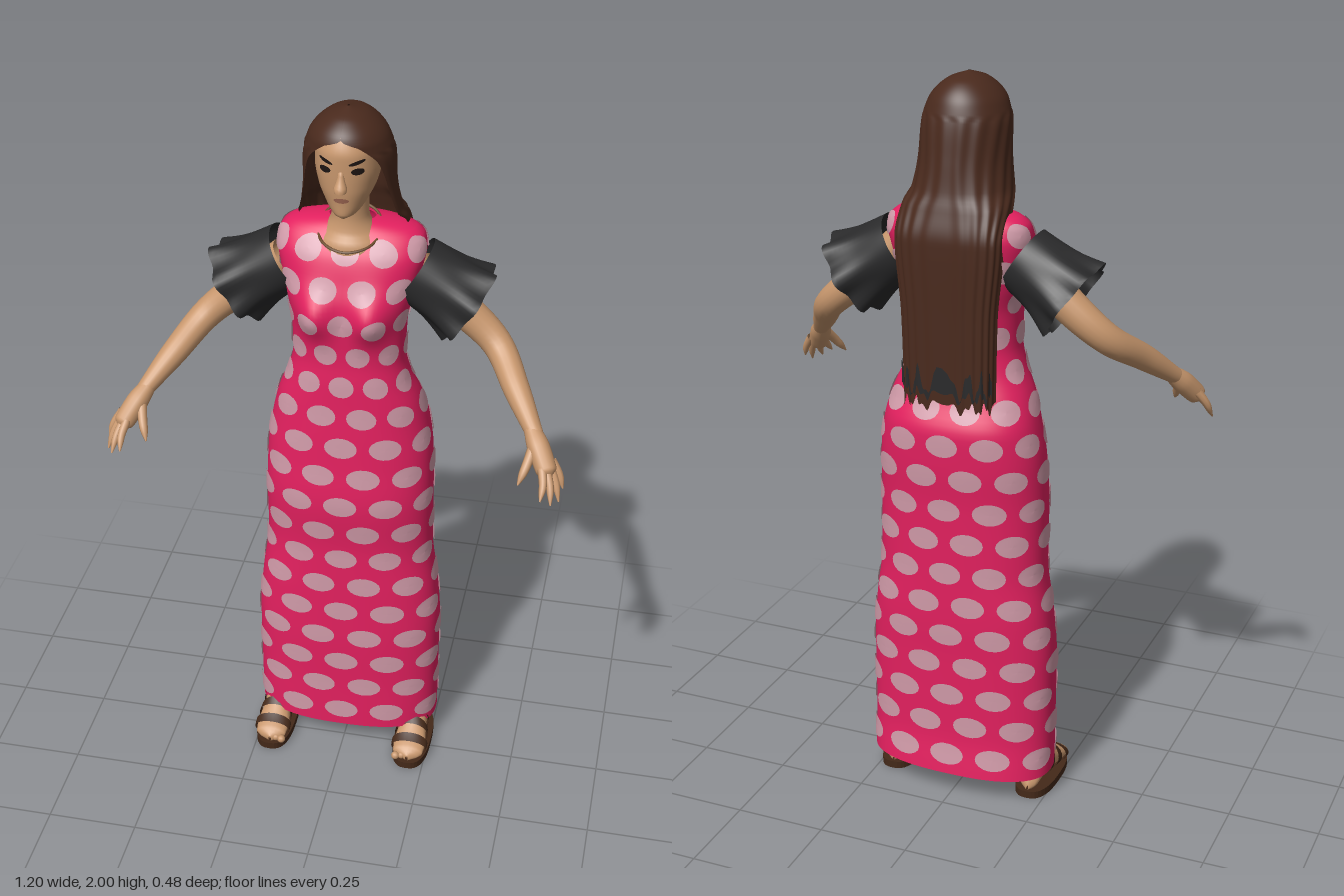
import * as THREE from 'three';
import { mergeGeometries } from 'three/addons/utils/BufferGeometryUtils.js';

const mat = (name, color, side = THREE.DoubleSide) => {
  const m = new THREE.MeshStandardMaterial({ color, side });
  m.name = name;
  return m;
};

// Surface from f(u, v), u around and v along; closed joins the seam
function grid(nu, nv, f, closed = true) {
  const pos = [], idx = [], cols = closed ? nu : nu + 1;
  for (let i = 0; i <= nv; i++)
    for (let j = 0; j < cols; j++) pos.push(...f(j / nu, i / nv));
  for (let i = 0; i < nv; i++)
    for (let j = 0; j < nu; j++) {
      const k = (j + 1) % cols, a = i * cols + j, b = i * cols + k;
      idx.push(a, b, a + cols, b, b + cols, a + cols);
    }
  const g = new THREE.BufferGeometry();
  g.setAttribute('position', new THREE.Float32BufferAttribute(pos, 3));
  g.setIndex(idx);
  g.computeVertexNormals();
  return g;
}

// Smooth monotone interpolation of rows [key, ...values]
function profile(rows, t) {
  let i = 0;
  while (i < rows.length - 2 && t > rows[i + 1][0]) i++;
  const A = rows[i], B = rows[i + 1], h = B[0] - A[0];
  const x = Math.min(1, Math.max(0, (t - A[0]) / h));
  const slope = (k, c) => (rows[k + 1][c] - rows[k][c]) / (rows[k + 1][0] - rows[k][0]);
  const tangent = (k, c) => {
    if (k === 0) return slope(0, c);
    if (k === rows.length - 1) return slope(k - 1, c);
    const p = slope(k - 1, c), q = slope(k, c);
    return p * q <= 0 ? 0 : 2 * p * q / (p + q);
  };
  return A.slice(1).map((a, n) => {
    const c = n + 1, x2 = x * x, x3 = x2 * x;
    return a * (2 * x3 - 3 * x2 + 1) + B[c] * (3 * x2 - 2 * x3)
      + h * (tangent(i, c) * (x3 - 2 * x2 + x) + tangent(i + 1, c) * (x3 - x2));
  });
}

// Point on a horizontal oval section; angle 0 is the front
const pw = (v, p) => Math.sign(v) * Math.abs(v) ** p;
const oval = (hw, zf, zb, p, a, out = 0) => [
  (hw + out) * pw(Math.sin(a), p), (zf + zb) / 2 + ((zf - zb) / 2 + out) * pw(Math.cos(a), p)];

// Elliptical patch lying on a surface f(u, v)
const patch = (f, u, v, a, b) => grid(18, 3, (s, t) => {
  const r = 1 - t, w = s * Math.PI * 2;
  return f(u + a * r * Math.cos(w), v + b * r * Math.sin(w));
});

// Tapered tube through points, with optional ripple of its radius
function limb(points, radii, n = 14, steps = 20, ripple = () => 1) {
  const curve = new THREE.CatmullRomCurve3(points.map(p => new THREE.Vector3(...p)));
  const fr = curve.computeFrenetFrames(steps);
  const rows = radii.map((r, i) => [i / (radii.length - 1), r]);
  return grid(n, steps, (u, v) => {
    const k = Math.round(v * steps), a = u * Math.PI * 2;
    const r = profile(rows, v)[0] * ripple(a, v);
    return curve.getPoint(v).addScaledVector(fr.normals[k], r * Math.cos(a))
      .addScaledVector(fr.binormals[k], r * Math.sin(a)).toArray();
  });
}

// Section rows: y, half width, front z, back z, roundness
const DRESS = [
  [0.08, 0.26, 0.045, -0.225, 0.8], [0.2, 0.26, 0.045, -0.212, 0.8], [0.42, 0.26, 0.05, -0.215, 0.8],
  [0.55, 0.25, 0.05, -0.22, 0.8], [0.7, 0.232, 0.05, -0.222, 0.85], [0.88, 0.23, 0.063, -0.226, 0.85],
  [1.0, 0.225, 0.055, -0.235, 0.85], [1.09, 0.212, 0.05, -0.238, 0.85], [1.17, 0.192, 0.045, -0.208, 0.85],
  [1.25, 0.16, 0.042, -0.18, 0.85], [1.31, 0.148, 0.038, -0.172, 0.85], [1.4, 0.15, 0.04, -0.182, 0.85],
  [1.48, 0.165, 0.037, -0.198, 0.8], [1.55, 0.183, 0.02, -0.207, 0.8], [1.6, 0.192, 0.002, -0.208, 0.8],
  [1.635, 0.187, -0.02, -0.2, 0.85], [1.658, 0.165, -0.04, -0.185, 0.9], [1.672, 0.12, -0.055, -0.165, 1],
  [1.68, 0.06, -0.07, -0.14, 1]];
const HEAD = [
  [1.725, 0.008, 0.015, -0.05, 1], [1.74, 0.034, 0.034, -0.08, 1], [1.77, 0.055, 0.037, -0.12, 0.95],
  [1.81, 0.073, 0.042, -0.15, 0.92], [1.86, 0.083, 0.045, -0.165, 0.92], [1.9, 0.083, 0.046, -0.165, 0.95],
  [1.94, 0.07, 0.032, -0.145, 1], [1.975, 0.03, -0.01, -0.1, 1], [1.985, 0.004, -0.04, -0.06, 1]];
const NECK = [
  [1.6, 0.09, 0.0, -0.13, 1], [1.635, 0.085, -0.003, -0.14, 1], [1.662, 0.064, -0.02, -0.135, 1],
  [1.7, 0.048, -0.026, -0.125, 1], [1.78, 0.047, -0.015, -0.125, 1]];
// Last value is the half angle of the opening round the face
const HAIR = [
  [1.17, 0.125, -0.1, -0.226, 0.6, 1.66], [1.4, 0.13, -0.1, -0.23, 0.6, 1.66], [1.6, 0.145, -0.09, -0.235, 0.6, 1.6],
  [1.68, 0.14, -0.03, -0.217, 0.75, 1.4], [1.72, 0.128, 0.03, -0.205, 0.9, 1.3], [1.8, 0.117, 0.045, -0.192, 1, 1.13],
  [1.88, 0.114, 0.052, -0.18, 1, 0.87], [1.93, 0.1, 0.053, -0.166, 1, 0.45], [1.95, 0.088, 0.046, -0.156, 1, 0],
  [1.983, 0.05, 0.01, -0.12, 1, 0], [2, 0.003, -0.045, -0.055, 1, 0]];

function dressPoint(a, y, out = 0) {
  const [x, z] = oval(...profile(DRESS, y), a, out);
  const bust = Math.cos(a) > 0
    ? 0.038 * Math.exp(-(((Math.abs(x) - 0.075) / 0.05) ** 2) - ((y - 1.45) / 0.06) ** 2) : 0;
  return [x, y, z + bust];
}

// Dress point by fraction of the way round the section
function dressByLength(s, y, out) {
  const N = 120, len = [0];
  let p = dressPoint(0, y);
  for (let i = 1; i <= N; i++) {
    const q = dressPoint(i / N * Math.PI * 2, y);
    len.push(len[i - 1] + Math.hypot(q[0] - p[0], q[2] - p[2]));
    p = q;
  }
  const want = (s - Math.floor(s)) * len[N];
  let i = 0;
  while (i < N - 1 && len[i + 1] < want) i++;
  const a = (i + (want - len[i]) / (len[i + 1] - len[i])) / N * Math.PI * 2;
  return dressPoint(a, y, out);
}

export function createModel() {
  const root = new THREE.Group();
  const skin = mat('skin', 0xc9986e), pink = mat('pinkFabric', 0xe3205f), pale = mat('paleDots', 0xd09aa8);
  const black = mat('blackFabric', 0x2a2a2b), brown = mat('brownHair', 0x4a2a1d), leather = mat('leather', 0x442919);
  const dark = mat('eyeMakeup', 0x1c1412), lip = mat('lips', 0x9a6450), gold = mat('necklaceMetal', 0x6e4c2c);
  const add = (name, geo, material) => {
    const m = new THREE.Mesh(geo, material);
    m.name = name;
    root.add(m);
    return m;
  };
  const loft = (rows, n, steps) => grid(n, steps, (u, v) => {
    const y = rows[0][0] + v * (rows[rows.length - 1][0] - rows[0][0]);
    const [x, z] = oval(...profile(rows, y), u * Math.PI * 2);
    return [x, y, z];
  });

  // Dress with staggered rows of dots
  add('dress', grid(96, 100, (u, v) => dressPoint(u * Math.PI * 2, 0.08 + 1.6 * (1 - (1 - v) ** 1.35))), pink);
  const dots = [];
  for (let row = 0; row < 17; row++)
    for (let i = 0; i < 10; i++)
      dots.push(patch((s, y) => dressByLength(s, y, 0.004),
        (i + (row % 2) / 2) / 10, 0.14 + row * 0.0925, 0.037, 0.031));
  add('dressDots', mergeGeometries(dots), pale);

  // Head, neck and face
  add('head', loft(HEAD, 40, 40), skin);
  add('neck', loft(NECK, 32, 16), skin);
  add('nose', grid(12, 8, (u, v) => {
    const a = u * Math.PI * 2, r = [0.015, 0.017, 0.016, 0.013, 0.011, 0.009, 0.008, 0.007, 0.002][Math.round(v * 8)];
    return [r * Math.sin(a), 1.815 + v * 0.055, 0.04 + (1 - v) * 0.012 + r * Math.cos(a)];
  }), skin);
  const face = (a, y) => {
    const [x, z] = oval(...profile(HEAD, y), a, 0.003);
    return [x, y, z];
  };
  for (const s of [1, -1]) {
    add('eye', patch(face, s * 0.47, 1.868, 0.2, 0.009), dark);
    add('eyebrow', patch((a, y) => face(a, y + 0.02 * (Math.abs(a) - 0.4)), s * 0.46, 1.89, 0.25, 0.005), dark);
  }
  add('mouth', patch(face, 0, 1.787, 0.27, 0.007), lip);

  // Necklace
  const chain = new THREE.CatmullRomCurve3([0, 1, 2, 3, 4, 5, 6, 7].map(i => {
    const a = i * Math.PI / 4, c = Math.cos(a);
    return new THREE.Vector3(0.082 * Math.sin(a), 1.66 - 0.032 * c, -0.07 + 0.08 * c);
  }), true);
  add('necklace', new THREE.TubeGeometry(chain, 48, 0.004, 6, true), gold);

  // Long hair, open round the face, with ragged ends
  const hairPoint = (u, y, out = 0) => {
    const [hw, zf, zb, p, gap] = profile(HAIR, y);
    const a = gap + u * (Math.PI * 2 - 2 * gap);
    const strand = y < 1.9 ? 0.0016 * Math.sin(u * 70) : 0;
    const [x, z] = oval(hw, zf, zb, p, a, out + strand);
    return [x, y, z];
  };
  const ragged = u => 0.012 * Math.sin(u * 41) + 0.008 * Math.sin(u * 97);
  add('hair', grid(96, 90, (u, v) => {
    const q = hairPoint(u, 1.17 + 0.83 * (1 - (1 - v) ** 1.5));
    q[1] += ragged(u) * Math.max(0, 1 - v * 8);
    return q;
  }, false), brown);
  add('hairUnderlayer', grid(90, 2, (u, v) =>
    hairPoint(0.1 + u * 0.8, 1.2 + ragged(u) + v * (0.035 + 2 * ragged(u + 0.3)), 0.004), false), black);

  for (const s of [1, -1]) {
    const P = (...pts) => pts.map(([x, y, z]) => [s * x, y, z]);
    // Flared ruffled sleeve
    add('sleeve', limb(P([0.165, 1.55, -0.095], [0.235, 1.505, -0.097], [0.308, 1.455, -0.1]),
      [0.088, 0.094, 0.112], 56, 14, (a, v) => 1 + 0.1 * v * v * Math.cos(7 * a)), black);
    // Arm, palm and fingers
    add('arm', limb(P([0.17, 1.55, -0.09], [0.28, 1.45, -0.1], [0.385, 1.36, -0.08], [0.455, 1.285, 0.02],
      [0.515, 1.215, 0.105]), [0.05, 0.047, 0.04, 0.034, 0.022], 18, 28), skin);
    const tips = [[0.55, 1.1, 0.235], [0.576, 1.085, 0.225], [0.594, 1.08, 0.197], [0.6, 1.1, 0.165]];
    add('palm', limb(P([0.505, 1.225, 0.095], [0.53, 1.19, 0.13], [0.555, 1.15, 0.165], [0.565, 1.135, 0.18]),
      [0.021, 0.029, 0.027, 0.004]), skin);
    tips.forEach((t, i) => {
      const base = [0.545 + i * 0.007, 1.16 + i * 0.002, 0.176 - i * 0.012];
      const mid = base.map((b, k) => (b + t[k]) / 2 + (k === 0 ? 0.005 : 0));
      add('finger', limb(P(base, mid, t), [0.012, 0.011, 0.009, 0.002], 8, 10), skin);
    });
    add('thumb', limb(P([0.518, 1.2, 0.125], [0.503, 1.155, 0.17], [0.488, 1.118, 0.2]),
      [0.015, 0.013, 0.011, 0.002], 8, 10), skin);

    // Leg and foot
    const cx = s * 0.205;
    add('leg', limb([[cx, 0.07, -0.08], [cx, 0.3, -0.085], [s * 0.17, 0.6, -0.09]], [0.033, 0.048, 0.06]), skin);
    const FOOT = [[-0.132, 0.004, 0.02], [-0.118, 0.028, 0.06], [-0.08, 0.036, 0.12], [-0.04, 0.037, 0.11],
      [0, 0.04, 0.083], [0.05, 0.046, 0.052], [0.085, 0.042, 0.036], [0.1, 0.004, 0.02]];
    const footPoint = (u, z, k = 1) => {
      const [hw, h] = profile(FOOT, z), a = u * Math.PI * 2;
      return [cx + k * hw * Math.cos(a), 0.02 + h * (0.5 + 0.5 * k * Math.sin(a)), z];
    };
    add('foot', grid(20, 28, (u, v) => footPoint(u, -0.132 + v * 0.232)), skin);
    for (let i = 0; i < 5; i++) {
      const toe = add('toe', new THREE.SphereGeometry(0.012 - i * 0.0012, 10, 8), skin);
      toe.position.set(cx + s * (-0.034 + i * 0.017), 0.032, 0.096 - i * 0.005);
    }
    // Sandal sole and straps
    const outline = new THREE.Shape(Array.from({ length: 36 }, (_, i) =>
      new THREE.Vector2(...oval(0.054, 0.14, -0.11, 0.75, i / 36 * Math.PI * 2))));
    const sole = new THREE.ExtrudeGeometry(outline, { depth: 0.021, bevelEnabled: false });
    add('sandalSole', sole.rotateX(-Math.PI / 2), leather).position.x = cx;
    for (const [z, w] of [[0.055, 0.024], [0.01, 0.02], [-0.03, 0.014]])
      add('sandalStrap', grid(24, 2, (u, v) => footPoint(u, z + (v - 0.5) * w, 1.14)), leather);
    const heel = add('heelStrap', new THREE.TorusGeometry(0.042, 0.007, 8, 28), leather);
    heel.rotation.x = Math.PI / 2 - 0.25;
    heel.scale.y = 1.2;
    heel.position.set(cx, 0.075, -0.075);
  }
  return root;
}
